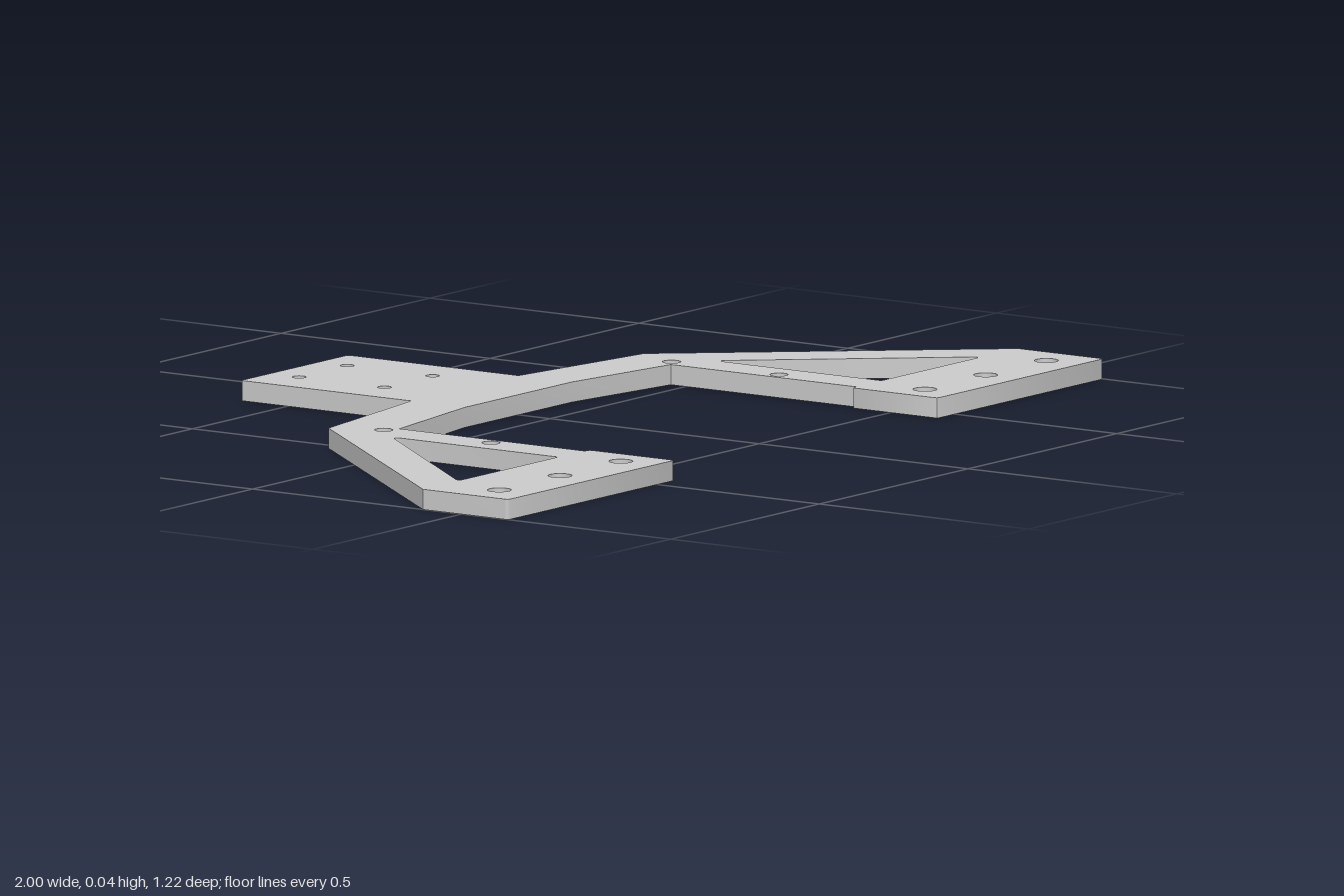
import * as THREE from 'three';
import { toCreasedNormals } from 'three/addons/utils/BufferGeometryUtils.js';

const THICKNESS = 0.04;

// Circular hole in plan coordinates (x, z)
function roundHole(x, z, r) {
  return new THREE.Path().absarc(x, -z, r, 0, Math.PI * 2, true);
}

// Closed path through plan points [x, z, cut]; a corner with a cut is rounded off over that length
function planPath(points, path) {
  const corners = points.map(([x, z]) => new THREE.Vector2(x, -z));
  const toward = (from, to, d) => to.clone().sub(from).setLength(d).add(from);
  corners.forEach((p, i) => {
    const cut = points[i][2] ?? 0;
    const a = toward(p, corners.at(i - 1), cut);
    const b = toward(p, corners[(i + 1) % corners.length], cut);
    if (i === 0) path.moveTo(a.x, a.y);
    else path.lineTo(a.x, a.y);
    if (cut > 0) path.quadraticCurveTo(p.x, p.y, b.x, b.y);
  });
  path.closePath();
  return path;
}

export function createModel() {
  const group = new THREE.Group();
  group.name = 'mountingBracket';

  // Left half of the outline, from the back of the centre tab round to the front of the beam
  const half = [
    [0.18, -0.612, 0.006], [0.18, -0.204], [0.53, -0.153],
    [1, 0.408], [1, 0.612, 0.008], [0.442, 0.612, 0.008], [0.442, 0.408, 0.008],
    [0.456, 0.408], [0.456, -0.036], [0.18, -0.076],
  ];
  // Mirrored half first, so that the outline runs counter-clockwise
  const mirrored = half.map(([x, z, cut]) => [-x, z, cut]);
  const shape = planPath([...mirrored, ...half.toReversed()], new THREE.Shape());

  // Triangular window between the diagonal arm, the strut and the foot
  const window = [[0.543, 0.008, 0.026], [0.88, 0.406, 0.02], [0.543, 0.406, 0.008]];

  for (const s of [-1, 1]) {
    shape.holes.push(planPath(window.map(([x, z, cut]) => [s * x, z, cut]), new THREE.Path()));
    // Centre tab holes
    for (const z of [-0.543, -0.339]) shape.holes.push(roundHole(s * 0.081, z, 0.0135));
    // Strut holes
    for (const z of [-0.054, 0.203]) shape.holes.push(roundHole(s * 0.484, z, 0.018));
    // Foot holes
    for (const x of [0.511, 0.715, 0.919]) shape.holes.push(roundHole(s * x, 0.533, 0.0235));
  }

  // Lay the extruded plate flat on the ground
  const geometry = new THREE.ExtrudeGeometry(shape, {
    depth: THICKNESS, bevelEnabled: false, curveSegments: 16,
  });
  geometry.rotateX(-Math.PI / 2);

  const plate = new THREE.Mesh(
    toCreasedNormals(geometry, 0.5),
    new THREE.MeshStandardMaterial({ color: 0xcccccc }),
  );
  plate.name = 'bracketPlate';
  group.add(plate);
  return group;
}
